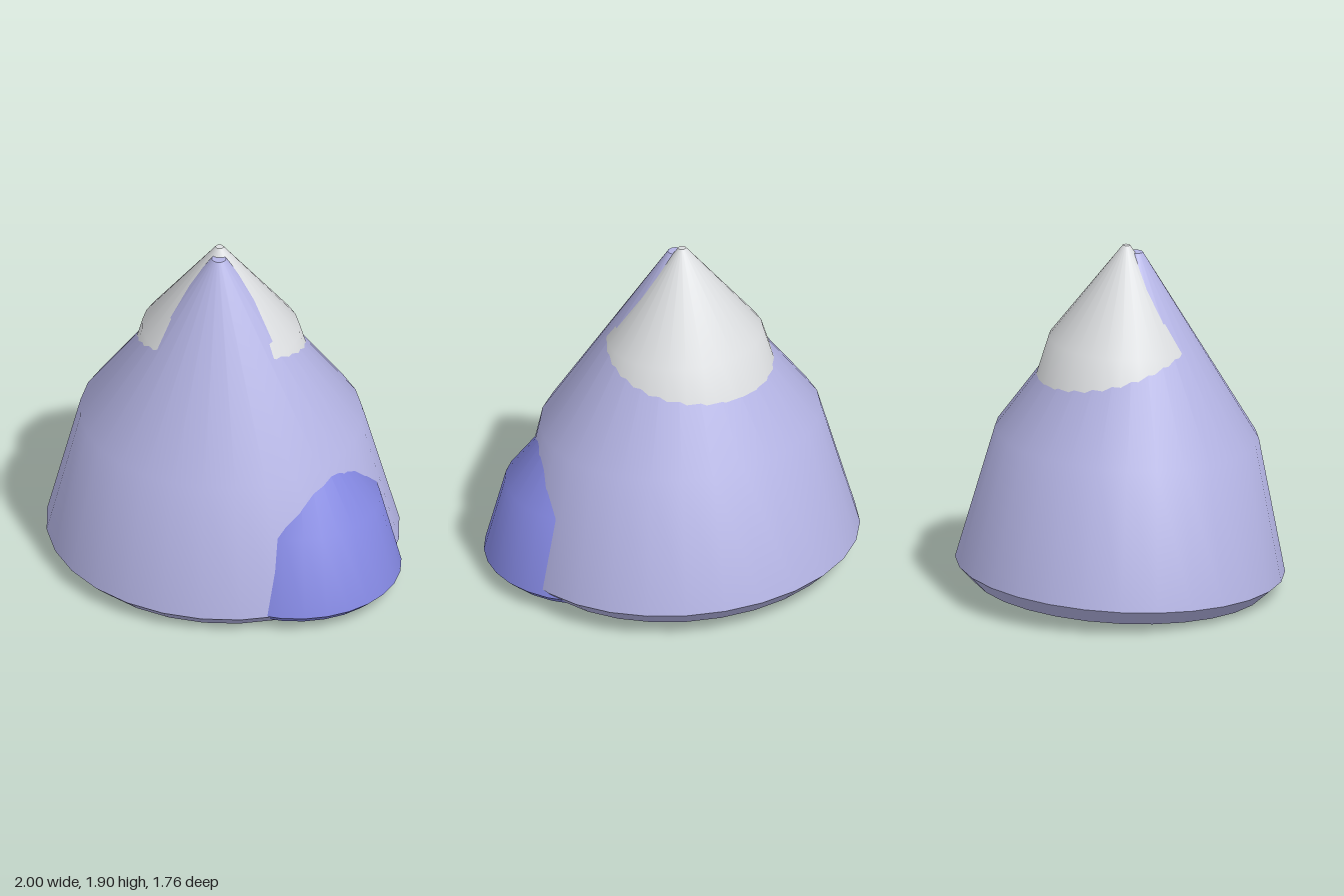
import * as THREE from 'three';

// Shared mountain profile: [radius, height], from the base up; doubled points keep an edge sharp
const PROFILE = [
  [0, 0], [0.895, 0], [0.895, 0],
  [1, 0.09], [1, 0.09],
  [0.8, 0.82],
  [0.04, 1.82], [0.04, 1.82], [0, 1.82],
];

const makeMaterial = (name, color) => {
  const m = new THREE.MeshStandardMaterial({ color });
  m.name = name;
  return m;
};

export function createModel() {
  const group = new THREE.Group();
  group.name = 'mountain';
  const rock = makeMaterial('pale lavender rock', 0xb4b4e4);
  const foothill = makeMaterial('violet blue rock', 0x8488e2);
  const snow = makeMaterial('snow', 0xdcdee0);

  const peakGeometry = new THREE.LatheGeometry(
    PROFILE.map(([r, y]) => new THREE.Vector2(r, y)), 28);

  const addPeak = (name, material, position, scale, tilt) => {
    const mesh = new THREE.Mesh(peakGeometry, material);
    mesh.name = name;
    mesh.position.set(...position);
    mesh.scale.set(...scale);
    mesh.rotation.set(tilt, 0, tilt ? -0.006 : 0);
    group.add(mesh);
  };

  // Main peak, leaning slightly forward
  addPeak('mainPeak', rock, [-0.047, 0.04, -0.002], [0.953, 1, 0.88], 0.05);
  // Snow cap, sunk into the back of the summit
  addPeak('snowCap', snow, [-0.058, 0.954, -0.01], [0.532, 0.52, 0.487], 0.05);
  // Small upright hill on the model's left
  addPeak('sideHill', foothill, [0.443, 0.043, 0.17], [0.557, 0.585, 0.557], 0);

  return group;
}
